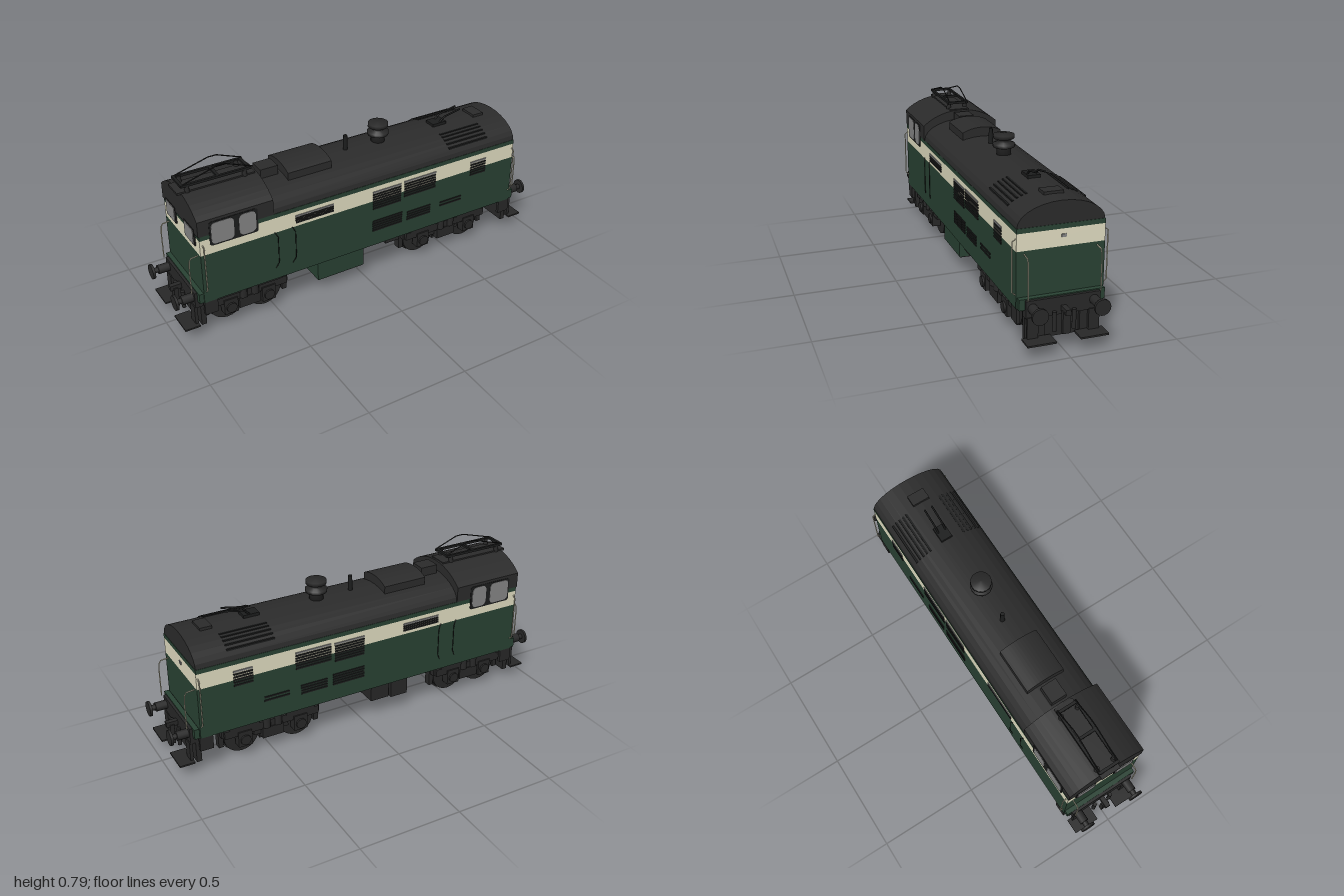
import * as THREE from 'three';

const mat = (name, color) => Object.assign(new THREE.MeshStandardMaterial({ color }), { name });

export function createModel() {
  const root = new THREE.Group();
  root.name = 'locomotive';
  const green = mat('body green', 0x294233);
  const cream = mat('cream band', 0xe2dec2);
  const roofGrey = mat('roof grey', 0x2b2b2b);
  const iron = mat('running gear', 0x282828);
  const black = mat('louvre black', 0x1c1d1d);
  const glass = mat('window glass', 0x868686);

  const add = (name, geo, m, x = 0, y = 0, z = 0, parent = root) => {
    const mesh = new THREE.Mesh(geo, m);
    mesh.name = name;
    mesh.position.set(x, y, z);
    parent.add(mesh);
    return mesh;
  };
  // Box given by its limits on each axis
  const box = (name, m, x0, x1, y0, y1, z0, z1, parent) =>
    add(name, new THREE.BoxGeometry(x1 - x0, y1 - y0, z1 - z0), m, (x0 + x1) / 2, (y0 + y1) / 2, (z0 + z1) / 2, parent);
  // Bent rod through a few points
  const rod = (name, m, pts, r = 0.004) => {
    const path = new THREE.CurvePath();
    const v = pts.map(p => new THREE.Vector3(...p));
    for (let i = 1; i < v.length; i++) path.add(new THREE.LineCurve3(v[i - 1], v[i]));
    return add(name, new THREE.TubeGeometry(path, (v.length - 1) * 4, r, 5), m);
  };
  // Cylinder lying along 'x', 'y' or 'z'
  const cyl = (name, m, r0, r1, len, axis, x, y, z, sides = 16, parent = root) => {
    const g = new THREE.CylinderGeometry(r0, r1, len, sides);
    if (axis === 'x') g.rotateZ(-Math.PI / 2);
    if (axis === 'z') g.rotateX(Math.PI / 2);
    return add(name, g, m, x, y, z, parent);
  };
  // Arched roof section swept along x
  const arch = (name, m, x0, x1, base, eave, top, half) => {
    const s = new THREE.Shape();
    s.moveTo(-half, base);
    s.lineTo(half, base);
    const n = 14, e = eave > base ? 0.22 : 0;
    for (let i = 0; i <= n; i++) {
      const a = e * Math.PI + (1 - 2 * e) * Math.PI * i / n;
      const c = Math.cos(a) / Math.cos(e * Math.PI);
      const h = (Math.sin(a) - Math.sin(e * Math.PI)) / (1 - Math.sin(e * Math.PI));
      s.lineTo(half * c, eave + (top - eave) * h);
    }
    const g = new THREE.ExtrudeGeometry(s, { depth: x1 - x0, bevelEnabled: false });
    g.rotateY(Math.PI / 2);
    return add(name, g, m, x0);
  };
  // Thin upright plate with rounded corners, facing z
  const pane = (name, m, x0, x1, y0, y1, z, r) => {
    const s = new THREE.Shape();
    s.absarc(x1 - r, y1 - r, r, 0, Math.PI / 2);
    s.absarc(x0 + r, y1 - r, r, Math.PI / 2, Math.PI);
    s.absarc(x0 + r, y0 + r, r, Math.PI, Math.PI * 1.5);
    s.absarc(x1 - r, y0 + r, r, Math.PI * 1.5, Math.PI * 2);
    return add(name, new THREE.ExtrudeGeometry(s, { depth: 0.006, bevelEnabled: false, curveSegments: 4 }), m, 0, 0, z - 0.003);
  };

  // Body shell in painted bands
  box('lowerBody', green, -0.875, 0.87, 0.2, 0.455, -0.2, 0.2);
  box('creamBand', cream, -0.875, 0.87, 0.455, 0.533, -0.2, 0.2);
  box('upperBand', green, -0.875, 0.87, 0.533, 0.555, -0.2, 0.2);
  arch('hoodRoof', roofGrey, -0.52, 0.868, 0.555, 0.555, 0.657, 0.198);
  arch('cabRoof', roofGrey, -0.88, -0.51, 0.555, 0.632, 0.705, 0.201);
  box('underframe', iron, -0.87, 0.87, 0.185, 0.2, -0.175, 0.175);
  for (const s of [-1, 1]) box('endLedge', green, s * 0.885 - 0.012, s * 0.885 + 0.012, 0.2, 0.25, -0.195, 0.195);

  // Cab windows, two panes on each side and on the end
  for (const s of [-1, 1]) {
    pane('windowFrame', black, -0.826, -0.59, 0.495, 0.618, s * 0.2, 0.012);
    pane('sideWindow', glass, -0.818, -0.708, 0.503, 0.611, s * 0.202, 0.02);
    pane('sideWindow', glass, -0.683, -0.6, 0.503, 0.611, s * 0.202, 0.025);
    box('endWindowFrame', black, -0.882, -0.875, 0.49, 0.575, s * 0.105 - 0.053, s * 0.105 + 0.053);
    box('endWindow', glass, -0.885, -0.88, 0.496, 0.57, s * 0.105 - 0.047, s * 0.105 + 0.047);
  }
  box('endLamp', glass, 0.869, 0.874, 0.496, 0.51, -0.022, 0);

  // Side louvre panels and cab door rails; the taller panels have a light top slat
  const louvres = [[-0.4, -0.2, 0.47, 0.515, 4], [0.02, 0.18, 0.405, 0.51, 8], [0.2, 0.385, 0.42, 0.515, 7],
    [0.02, 0.19, 0.28, 0.345, 5], [0.22, 0.36, 0.28, 0.335, 4], [0.42, 0.55, 0.295, 0.33, 2], [0.6, 0.695, 0.42, 0.505, 6]];
  for (const s of [-1, 1]) {
    for (const [x0, x1, y0, y1, n] of louvres)
      for (let i = 0; i < n; i++) {
        const y = y0 + (y1 - y0) * (i + 0.5) / n;
        const light = y0 > 0.4 && i === n - 1;
        box('louvre', light ? glass : black, x0, x1, y - 0.004, y + 0.004, s * 0.201 - 0.003, s * 0.201 + 0.003);
      }
    for (const x of [-0.51, -0.42])
      rod('doorRail', black, [[x, 0.26, s * 0.2], [x + 0.015, 0.29, s * 0.206], [x + 0.015, 0.43, s * 0.206], [x, 0.46, s * 0.2]], 0.002);
    // Roof louvres on the slope
    for (let i = 0; i < 5; i++) {
      const z = 0.095 + i * 0.02;
      const y = 0.555 + 0.102 * Math.sqrt(1 - (z / 0.198) ** 2);
      box('roofLouvre', black, 0.475, 0.71, y - 0.006, y + 0.003, s * z - 0.005, s * z + 0.005);
    }
  }

  // Roof equipment
  arch('roofHatch', roofGrey, -0.38, -0.15, 0.62, 0.68, 0.703, 0.1);
  box('roofVent', roofGrey, -0.49, -0.4, 0.64, 0.7, -0.04, 0.04);
  box('rearHatch', roofGrey, 0.72, 0.78, 0.64, 0.668, -0.045, 0.045);
  box('hornBase', black, 0.48, 0.56, 0.64, 0.67, -0.03, 0.03);
  for (const z of [-0.02, 0.02]) rod('horn', black, [[0.52, 0.66, z], [0.55, 0.69, z], [0.65, 0.71, z]], 0.005);
  cyl('whistle', black, 0.01, 0.012, 0.085, 'y', -0.015, 0.69, 0, 8);
  const stack = [[0, 0.64], [0.036, 0.64], [0.034, 0.685], [0.052, 0.692], [0.054, 0.708], [0.032, 0.715], [0.032, 0.728], [0.05, 0.734], [0.05, 0.752], [0, 0.757]];
  add('exhaustStack', new THREE.LatheGeometry(stack.map(p => new THREE.Vector2(...p)), 16), iron, 0.17, 0, 0);

  // Current collector above the cab
  for (const s of [-1, 1]) {
    box('collectorRail', black, -0.88, -0.54, 0.73, 0.742, s * 0.048 - 0.006, s * 0.048 + 0.006);
    rod('collectorArm', black, [[-0.87, 0.742, s * 0.048], [-0.68, 0.796, s * 0.046], [-0.54, 0.742, s * 0.048]], 0.003);
    for (const x of [-0.85, -0.57]) cyl('insulator', iron, 0.01, 0.014, 0.055, 'y', x, 0.71, s * 0.044, 8);
  }
  for (const x of [-0.875, -0.7, -0.55]) box('collectorCrossbar', black, x - 0.007, x + 0.007, 0.73, 0.742, -0.05, 0.05);
  box('cabRoofBoard', roofGrey, -0.9, -0.52, 0.697, 0.708, -0.05, 0.05);

  // Tank and equipment under the frame
  box('fuelTank', green, -0.27, -0.01, 0.08, 0.2, -0.02, 0.168);
  box('tankBase', iron, -0.265, -0.015, 0.074, 0.08, -0.015, 0.163);
  box('airBox', iron, -0.25, -0.155, 0.095, 0.19, -0.17, -0.05);
  box('batteryBox', iron, -0.14, -0.04, 0.105, 0.19, -0.17, -0.05);
  box('pipeBox', iron, 0.11, 0.19, 0.168, 0.19, 0.08, 0.18);

  // Bogies with wheels, axle boxes, springs and brakes
  const makeBogie = (cx, half) => {
    const b = new THREE.Group();
    b.name = 'bogie';
    b.position.x = cx;
    root.add(b);
    box('bolster', iron, -0.09, 0.09, 0.09, 0.19, -0.14, 0.14, b);
    for (const s of [-1, 1]) {
      box('sideFrame', iron, -half - 0.1, half + 0.1, 0.125, 0.165, s * 0.145 - 0.015, s * 0.145 + 0.015, b);
      box('springPlank', iron, -0.055, 0.055, 0.075, 0.13, s * 0.145 - 0.02, s * 0.145 + 0.02, b);
      for (const x of [-0.03, 0.03]) cyl('coilSpring', iron, 0.02, 0.02, 0.07, 'y', x, 0.165, s * 0.155, 10, b);
      for (const d of [-1, 1]) {
        const x = d * half;
        cyl('wheel', iron, 0.088, 0.088, 0.034, 'z', x, 0.098, s * 0.098, 24, b);
        cyl('wheelFlange', iron, 0.096, 0.096, 0.01, 'z', x, 0.098, s * 0.081, 24, b);
        box('axleBox', iron, x - 0.035, x + 0.035, 0.065, 0.145, s * 0.145 - 0.022, s * 0.145 + 0.022, b);
        cyl('axleCap', iron, 0.026, 0.026, 0.014, 'z', x, 0.1, s * 0.169, 12, b);
        box('leafSpring', iron, x - 0.075, x + 0.075, 0.165, 0.18, s * 0.15 - 0.015, s * 0.15 + 0.015, b);
        box('brakeBlock', iron, x + d * 0.105 - 0.012, x + d * 0.105 + 0.012, 0.06, 0.17, s * 0.1 - 0.018, s * 0.1 + 0.018, b);
        box('brakeHanger', iron, x - d * 0.1 - 0.008, x - d * 0.1 + 0.008, 0.05, 0.15, s * 0.1 - 0.015, s * 0.1 + 0.015, b);
      }
    }
    for (const d of [-1, 1]) {
      cyl('axle', iron, 0.018, 0.018, 0.3, 'z', d * half, 0.098, 0, 10, b);
      cyl('tractionMotor', iron, 0.055, 0.055, 0.12, 'z', d * half * 0.75, 0.12, 0, 12, b);
      box('endStretcher', iron, d * (half + 0.1) - 0.01, d * (half + 0.1) + 0.01, 0.125, 0.165, -0.145, 0.145, b);
    }
  };
  makeBogie(-0.635, 0.098);
  makeBogie(0.495, 0.145);

  // Ends: beam, buffers, coupling, steps and handrails
  for (const e of [-1, 1]) {
    const end = new THREE.Group();
    end.name = 'endFittings';
    root.add(end);
    const ebox = (name, x0, x1, ...r) => box(name, iron, Math.min(e * x0, e * x1), Math.max(e * x0, e * x1), ...r, end);
    ebox('bufferBeam', 0.87, 0.91, 0.165, 0.245, -0.17, 0.17);
    ebox('lowerPlate', 0.86, 0.885, 0.055, 0.17, -0.165, 0.165);
    ebox('couplingHook', 0.9, 0.965, 0.18, 0.205, -0.012, 0.012);
    ebox('couplingLink', 0.93, 0.95, 0.09, 0.19, -0.018, 0.018);
    for (const s of [-1, 1]) {
      const z = s * 0.14;
      cyl('bufferSleeve', iron, 0.022, 0.022, 0.06, 'x', e * 0.935, 0.21, z, 12, end);
      cyl('bufferRod', iron, 0.014, 0.014, 0.05, 'x', e * 0.97, 0.21, z, 10, end);
      cyl('bufferHead', iron, 0.037, 0.037, 0.012, 'x', e * 0.994, 0.21, z, 18, end);
      cyl('brakeHose', iron, 0.01, 0.01, 0.09, 'y', e * 0.92, 0.14, s * 0.045, 8, end);
      ebox('stepHanger', 0.9, 0.915, 0.07, 0.17, z - 0.025, z + 0.025);
      ebox('step', 0.9, 0.975, 0.065, 0.073, s * 0.12 - 0.065, s * 0.12 + 0.065);
      ebox('railGuard', 0.885, 0.9, 0.05, 0.16, s * 0.1 - 0.02, s * 0.1 + 0.02);
      ebox('sideStep', 0.81, 0.875, 0.13, 0.2, s * 0.19 - 0.008, s * 0.19 + 0.008);
      rod('endHandrail', cream, [[e * 0.87, 0.44, s * 0.165], [e * 0.915, 0.435, s * 0.165], [e * 0.92, 0.38, s * 0.165], [e * 0.92, 0.25, s * 0.165]], 0.003);
      rod('sideHandrail', cream, [[e * 0.862, 0.51, s * 0.2], [e * 0.862, 0.505, s * 0.216], [e * 0.862, 0.27, s * 0.216], [e * 0.862, 0.26, s * 0.2]], 0.003);
    }
  }
  return root;
}
